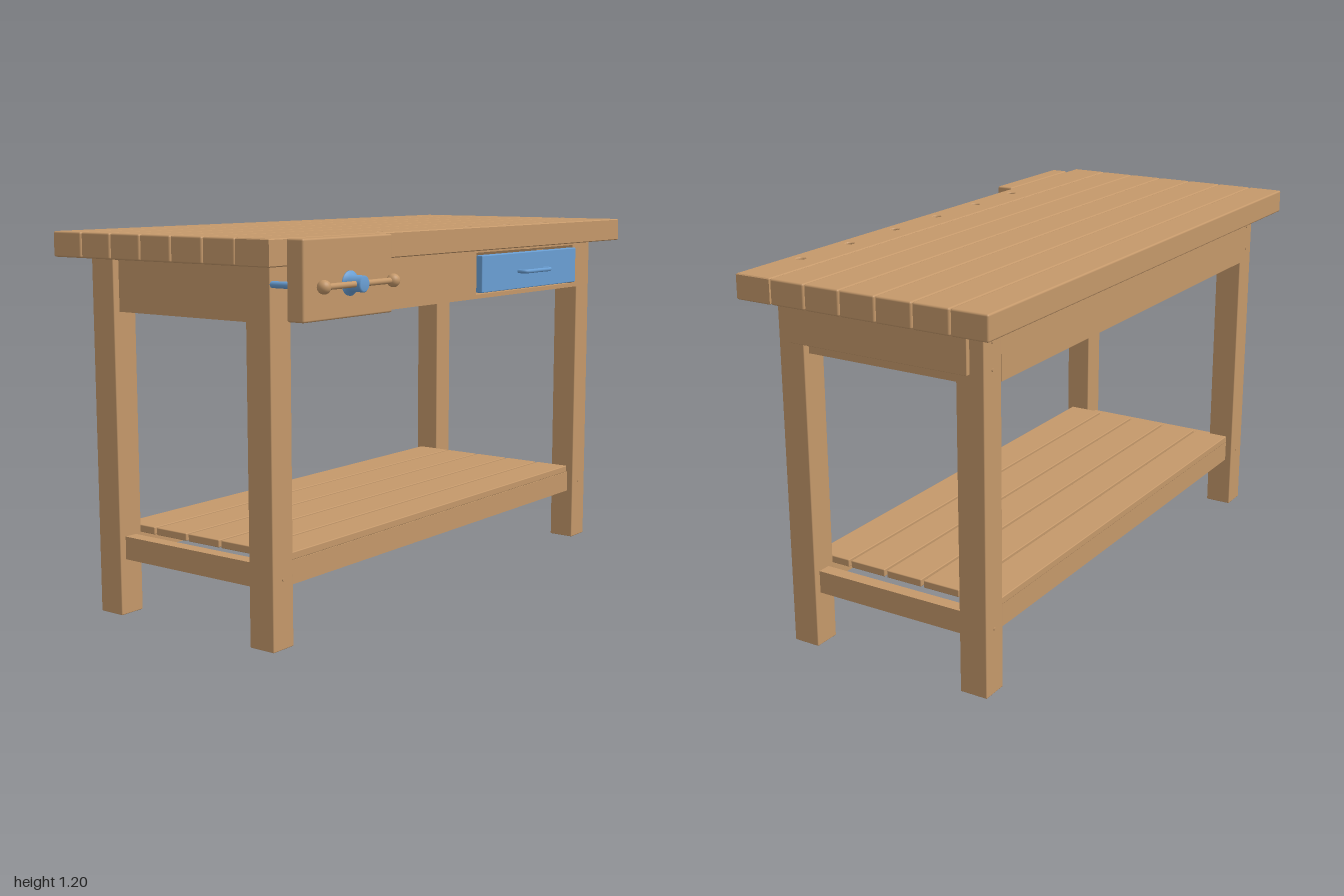
import * as THREE from 'three';
import { RoundedBoxGeometry } from 'three/addons/geometries/RoundedBoxGeometry.js';

export function createModel() {
  const model = new THREE.Group();
  model.name = 'workbench';
  const wood = new THREE.MeshStandardMaterial({ color: 0xc4986a });
  wood.name = 'wood';
  const blue = new THREE.MeshStandardMaterial({ color: 0x6a9fd4 });
  blue.name = 'blue metal';

  function add(name, geometry, material, parent = model) {
    const mesh = new THREE.Mesh(geometry, material);
    mesh.name = name;
    parent.add(mesh);
    return mesh;
  }
  // Box given by its limits on each axis, with slightly eased edges
  function box(name, [x0, x1], [y0, y1], [z0, z1], material = wood, ease = 0.003, parent = model) {
    const size = [x1 - x0, y1 - y0, z1 - z0];
    const geometry = ease ? new RoundedBoxGeometry(...size, 2, ease) : new THREE.BoxGeometry(...size);
    const mesh = add(name, geometry, material, parent);
    mesh.position.set((x0 + x1) / 2, (y0 + y1) / 2, (z0 + z1) / 2);
    return mesh;
  }
  // Cylinder along z between two depths
  function rodZ(name, x, y, z0, z1, r, material, parent = model) {
    const rod = add(name, new THREE.CylinderGeometry(r, r, z1 - z0, 20), material, parent);
    rod.rotation.x = Math.PI / 2;
    rod.position.set(x, y, (z0 + z1) / 2);
    return rod;
  }
  function rectangle(Type, x0, x1, y0, y1) {
    return new Type([[x0, y0], [x1, y0], [x1, y1], [x0, y1]].map(([x, y]) => new THREE.Vector2(x, y)));
  }

  // Worktop: six plain planks behind one with bench dog holes
  const top = new THREE.Group();
  top.name = 'worktop';
  model.add(top);
  const pitch = 0.1237;
  for (let i = 0; i < 6; i++) {
    const z = -0.497 + i * pitch;
    box('worktopPlank', [-1, 1], [1.122, 1.2], [z, z + pitch - 0.003], wood, 0.006, top);
  }
  const plank = rectangle(THREE.Shape, -1, 1, -0.368, -0.497 + 0.497 - 6 * pitch + 0.497);
  for (let i = 0; i < 6; i++) {
    plank.holes.push(new THREE.Path().absarc(-0.44 + i * 0.24, -0.325, 0.014, 0, Math.PI * 2, true));
  }
  const bevel = 0.003;
  const plankGeometry = new THREE.ExtrudeGeometry(plank, {
    depth: 0.078 - 2 * bevel, bevelThickness: bevel, bevelSize: bevel, bevelOffset: -bevel,
    bevelSegments: 1, curveSegments: 16,
  });
  plankGeometry.rotateX(-Math.PI / 2);
  add('frontPlankWithDogHoles', plankGeometry, wood, top).position.y = 1.122 + bevel;

  // Legs with peg ends
  for (const side of [-1, 1]) {
    const xs = side < 0 ? [-0.914, -0.824] : [0.82, 0.91];
    const x = (xs[0] + xs[1]) / 2;
    box('frontLeg', xs, [0, 1.122], [0.204, 0.295]);
    box('backLeg', xs, [0, 1.122], [-0.423, -0.331]);
    rodZ('frontPeg', x, 0.21, 0.29, 0.298, 0.005, wood);
    for (const y of [0.21, 1.0, 1.08]) rodZ('backPeg', x, y, -0.426, -0.418, 0.005, wood);
    // End rails, high and low
    box('endRail', [x - 0.022, x + 0.022], [0.955, 1.122], [-0.335, 0.21], wood, 0);
    box('endStretcher', [x - 0.022, x + 0.022], [0.177, 0.25], [-0.335, 0.21], wood, 0);
  }
  box('endBoard', [0.909, 0.925], [0.991, 1.12], [-0.377, 0.246], wood, 0.002);

  // Long aprons, the front one open for the drawer
  const apron = rectangle(THREE.Shape, -0.826, 0.822, 0.955, 1.122);
  apron.holes.push(rectangle(THREE.Path, 0.14, 0.785, 0.969, 1.109));
  add('frontApron', new THREE.ExtrudeGeometry(apron, { depth: 0.045, bevelEnabled: false }), wood)
    .position.z = 0.25;
  box('backApron', [-0.826, 0.822], [0.955, 1.122], [-0.424, -0.38], wood, 0);

  // Lower stretchers and shelf
  box('frontStretcher', [-0.826, 0.822], [0.177, 0.25], [0.228, 0.272], wood, 0);
  box('backStretcher', [-0.826, 0.822], [0.177, 0.25], [-0.4, -0.356], wood, 0);
  for (let i = 0; i < 5; i++) {
    const z = -0.402 + i * 0.1365;
    box('shelfPlank', [-0.82, 0.816], [0.25, 0.274], [z, z + 0.127], wood, 0.003);
  }

  // Drawer, its divider and its runner
  const drawer = new THREE.Group();
  drawer.name = 'drawer';
  model.add(drawer);
  box('drawerFront', [0.147, 0.777], [0.975, 1.1], [0.285, 0.314], blue, 0.003, drawer);
  box('drawerBottom', [0.15, 0.775], [0.975, 0.99], [-0.37, 0.285], wood, 0, drawer);
  box('drawerBack', [0.15, 0.775], [0.99, 1.09], [-0.37, -0.355], wood, 0, drawer);
  for (const x of [0.15, 0.76]) {
    box('drawerSide', [x, x + 0.015], [0.99, 1.09], [-0.355, 0.285], wood, 0, drawer);
  }
  const handlePath = new THREE.CatmullRomCurve3([
    [0.378, 0.31], [0.378, 0.335], [0.388, 0.345], [0.463, 0.346], [0.538, 0.345], [0.548, 0.335], [0.548, 0.31],
  ].map(([x, z]) => new THREE.Vector3(x, 1.036, z)), false, 'centripetal');
  add('drawerHandle', new THREE.TubeGeometry(handlePath, 40, 0.007, 10), blue, drawer);
  box('drawerDivider', [0.1, 0.14], [0.957, 1.122], [-0.38, 0.25], wood, 0);
  box('drawerRunner', [0.782, 0.822], [0.957, 1.0], [-0.38, 0.25], wood, 0);

  // Front vise: jaw, guide rods, screw and sliding handle
  const vise = new THREE.Group();
  vise.name = 'vise';
  model.add(vise);
  const vx = -0.735, vy = 1.068;
  box('viseJaw', [-0.94, -0.53], [0.97, 1.2], [0.378, 0.438], wood, 0.006, vise);
  for (const dx of [-0.168, 0.168]) rodZ('guideRod', vx + dx, vy, 0.28, 0.385, 0.01, blue, vise);
  rodZ('viseScrew', vx, vy, 0.28, 0.385, 0.017, blue, vise);
  const hubProfile = [[0, 0], [0.036, 0], [0.036, 0.006], [0.024, 0.014], [0.024, 0.053], [0.02, 0.057], [0, 0.057]]
    .map(([r, h]) => new THREE.Vector2(r, h));
  const hub = add('screwHub', new THREE.LatheGeometry(hubProfile, 24), blue, vise);
  hub.rotation.x = Math.PI / 2;
  hub.position.set(vx, vy, 0.436);
  const bar = add('viseHandle', new THREE.CylinderGeometry(0.009, 0.009, 0.32, 16), wood, vise);
  bar.rotation.z = Math.PI / 2;
  bar.position.set(vx, vy, 0.474);
  for (const dx of [-0.16, 0.16]) {
    add('handleKnob', new THREE.SphereGeometry(0.02, 20, 14), wood, vise).position.set(vx + dx, vy, 0.474);
  }

  return model;
}
